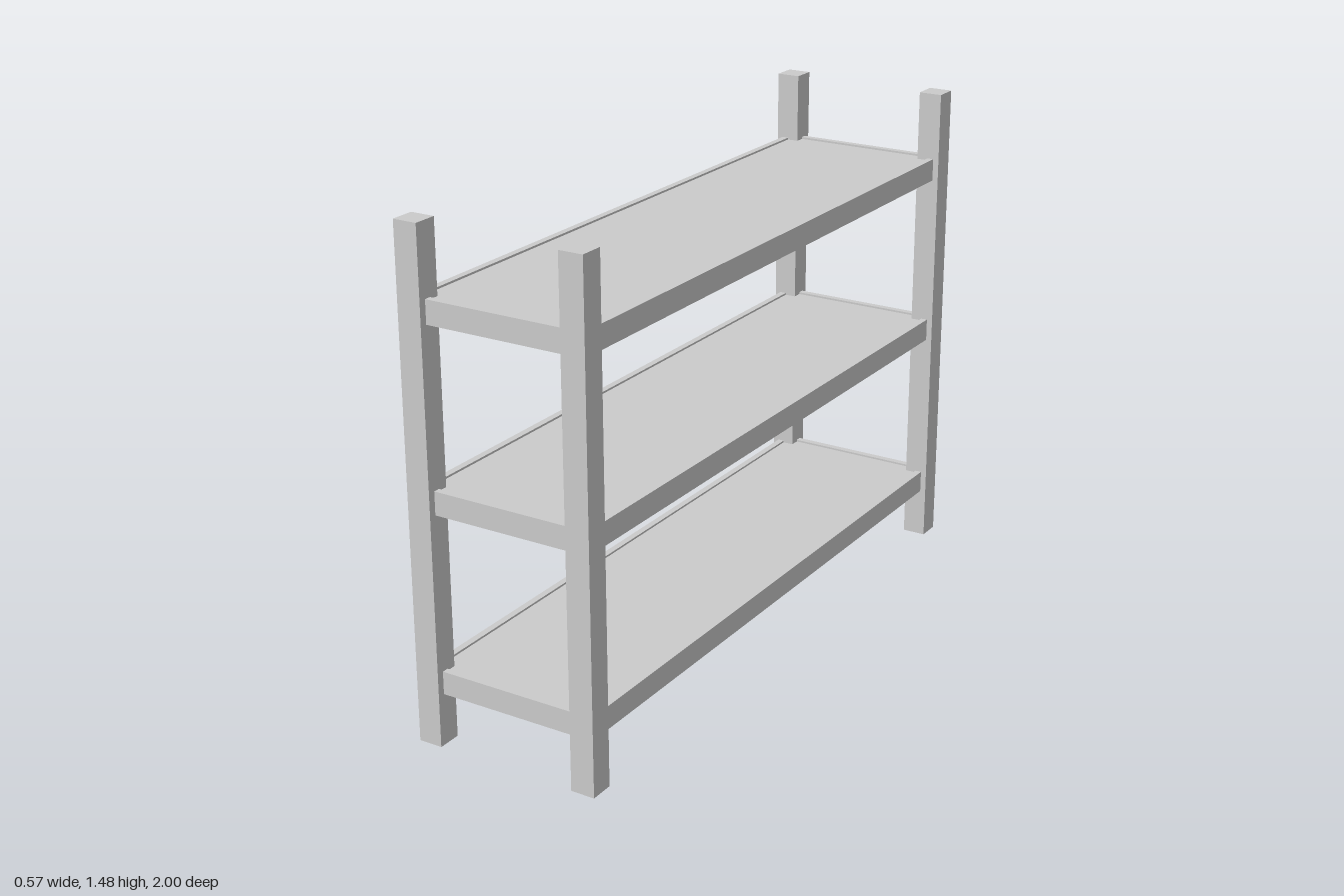
import * as THREE from 'three';

export function createModel() {
  const model = new THREE.Group();
  const material = new THREE.MeshStandardMaterial({ color: 0xcccccc, flatShading: true });

  // box given by its size and centre
  function box(parent, name, w, h, d, x, y, z) {
    const mesh = new THREE.Mesh(new THREE.BoxGeometry(w, h, d), material);
    mesh.name = name;
    mesh.position.set(x, y, z);
    parent.add(mesh);
  }

  const postSize = 0.072, postHeight = 1.475;
  const postX = 0.25, postZ = 0.964;
  const halfW = 0.268, halfL = 0.978; // outer half sizes of each shelf frame
  const railH = 0.068, railT = 0.02;

  // corner posts
  for (const sx of [-1, 1]) {
    for (const sz of [-1, 1]) {
      box(model, 'cornerPost', postSize, postHeight, postSize, sx * postX, postHeight / 2, sz * postZ);
    }
  }

  // one shelf: rail frame, recessed panel and cross battens underneath
  function createShelf(bottom) {
    const shelf = new THREE.Group();
    shelf.name = 'shelf';
    shelf.position.y = bottom;
    const innerW = 2 * (halfW - railT), innerL = 2 * (halfL - railT);
    for (const s of [-1, 1]) {
      box(shelf, 'sideRail', railT, railH, 2 * halfL, s * (halfW - railT / 2), railH / 2, 0);
      box(shelf, 'endRail', innerW, railH, railT, 0, railH / 2, s * (halfL - railT / 2));
    }
    box(shelf, 'shelfPanel', innerW, 0.014, innerL, 0, 0.055, 0);
    for (const z of [-0.63, -0.22, 0.22, 0.63]) {
      box(shelf, 'batten', innerW, 0.04, 0.03, 0, 0.028, z);
    }
    return shelf;
  }

  for (const bottom of [0.152, 0.678, 1.203]) model.add(createShelf(bottom));

  return model;
}
